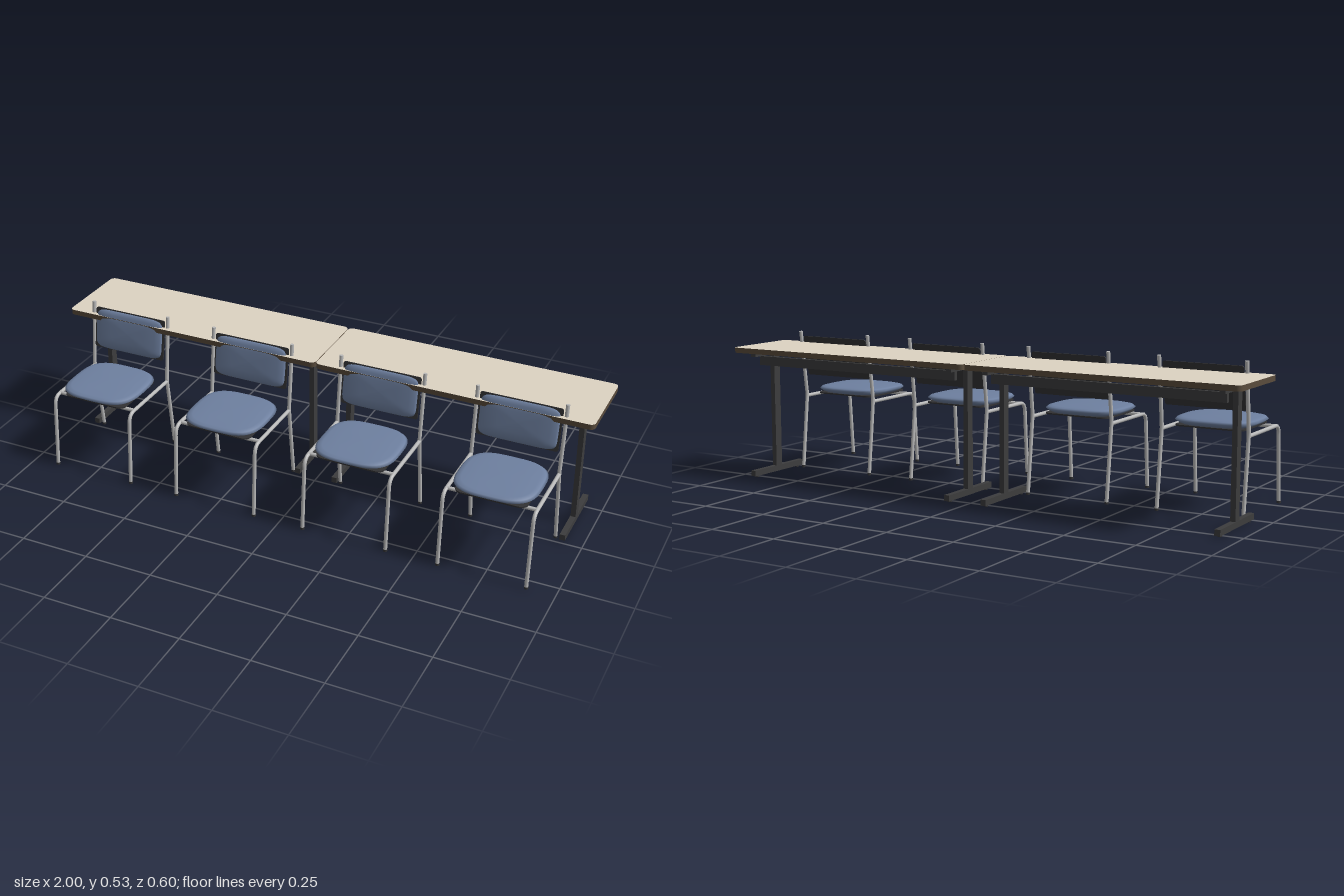
import * as THREE from 'three';

const mat = (name, color) => Object.assign(new THREE.MeshStandardMaterial({ color }), { name });

export function createModel() {
  const laminate = mat('beige laminate', 0xddd3c2);
  const brown = mat('brown edge', 0x5a4c3c);
  const underside = mat('brown underside', 0x8a7659);
  const frame = mat('dark frame metal', 0x3c3c3d);
  const steel = mat('grey steel', 0xb8b8b8);
  const blue = mat('blue upholstery', 0x6e80a0);
  const black = mat('black plastic', 0x323234);

  const add = (parent, name, geo, material, x = 0, y = 0, z = 0) => {
    const m = new THREE.Mesh(geo, material);
    m.name = name;
    m.position.set(x, y, z);
    parent.add(m);
    return m;
  };
  const box = (parent, name, material, w, h, d, x, y, z) =>
    add(parent, name, new THREE.BoxGeometry(w, h, d), material, x, y, z);

  // Horizontal slab with rounded corners, rising from y = 0
  const slab = (w, d, r, h) => {
    const a = w / 2, b = d / 2, s = new THREE.Shape();
    s.moveTo(-a + r, -b).lineTo(a - r, -b);
    s.absarc(a - r, -b + r, r, -Math.PI / 2, 0);
    s.absarc(a - r, b - r, r, 0, Math.PI / 2);
    s.absarc(-a + r, b - r, r, Math.PI / 2, Math.PI);
    s.absarc(-a + r, -b + r, r, Math.PI, Math.PI * 1.5);
    return new THREE.ExtrudeGeometry(s, { depth: h, bevelEnabled: false, curveSegments: 6 })
      .rotateX(-Math.PI / 2);
  };

  // Padded cushion: bulged-rectangle rings, each level is [scale, height]
  const cushion = (w, d, n, levels) => {
    const N = 48, pos = [], idx = [];
    const p = v => Math.sign(v) * Math.abs(v) ** (2 / n);
    levels.forEach(([s, y], j) => {
      for (let i = 0; i < N; i++) {
        const t = (i / N) * Math.PI * 2;
        pos.push(p(Math.cos(t)) * w / 2 * s, y, p(Math.sin(t)) * d / 2 * s);
        if (j === 0) continue;
        const a = (j - 1) * N + i, c = (j - 1) * N + (i + 1) % N;
        idx.push(a, a + N, c, c, a + N, c + N);
      }
    });
    const g = new THREE.BufferGeometry();
    g.setAttribute('position', new THREE.Float32BufferAttribute(pos, 3));
    g.setIndex(idx);
    g.computeVertexNormals();
    return g;
  };

  // Bent steel tube through [y, z] points, with rounded middle corner
  const R = 0.0068;
  const bentTube = (start, bendIn, corner, bendOut, end) => {
    const v = ([y, z]) => new THREE.Vector3(0, y, z);
    const path = new THREE.CurvePath();
    path.add(new THREE.LineCurve3(v(start), v(bendIn)));
    path.add(new THREE.QuadraticBezierCurve3(v(bendIn), v(corner), v(bendOut)));
    path.add(new THREE.LineCurve3(v(bendOut), v(end)));
    return new THREE.TubeGeometry(path, 40, R, 12);
  };

  const makeTable = () => {
    const g = new THREE.Group();
    g.name = 'table';
    add(g, 'tableTopCore', slab(0.998, 0.3, 0.018, 0.018), [underside, brown], 0, 0.465, -0.15);
    add(g, 'tableTopSurface', slab(0.998, 0.3, 0.018, 0.001), [laminate, brown], 0, 0.483, -0.15);
    // T-shaped end supports
    for (const x of [-0.427, 0.427]) {
      box(g, 'topBracket', frame, 0.02, 0.015, 0.248, x, 0.4575, -0.149);
      box(g, 'column', frame, 0.018, 0.424, 0.032, x, 0.238, -0.149);
      box(g, 'foot', frame, 0.02, 0.021, 0.279, x, 0.0165, -0.1495);
      for (const z of [-0.032, -0.267])
        add(g, 'glide', new THREE.CylinderGeometry(0.0065, 0.0065, 0.006, 12), black, x, 0.003, z);
    }
    box(g, 'rearRail', frame, 0.854, 0.033, 0.015, 0, 0.4335, -0.2275);
    return g;
  };

  const makeChair = () => {
    const g = new THREE.Group();
    g.name = 'chair';
    for (const x of [-0.155, 0.155]) {
      add(g, 'frontLegAndRail', bentTube(
        [0.003, 0.295], [0.24, 0.277], [0.275, 0.2745], [0.275, 0.243], [0.275, 0.005]), steel, x);
      add(g, 'rearLegAndPost', bentTube(
        [0.003, -0.026], [0.27, 0.0045], [0.283, 0.006], [0.296, 0.0035], [0.524, -0.025]), steel, x);
      add(g, 'postCap', new THREE.CylinderGeometry(R, R, 0.003, 12), steel, x, 0.5235, -0.025)
        .rotation.x = -0.12;
      for (const z of [0.295, -0.026])
        add(g, 'legTip', new THREE.CylinderGeometry(0.0074, 0.0074, 0.008, 12), black, x, 0.004, z);
    }
    // Cross bar under the front of the seat
    add(g, 'crossBar', new THREE.CylinderGeometry(R, R, 0.31, 12).rotateZ(Math.PI / 2),
      steel, 0, 0.275, 0.24);
    // Seat
    add(g, 'seatPlate', slab(0.25, 0.24, 0.03, 0.005), black, 0, 0.283, 0.147);
    add(g, 'seatCushion', cushion(0.29, 0.274, 3.2,
      [[0, 0.288], [0.84, 0.288], [0.93, 0.294], [1, 0.302], [0.95, 0.309],
        [0.85, 0.3125], [0.5, 0.315], [0, 0.3155]]), blue, 0, 0, 0.149);
    // Backrest, leaning a little more than the posts
    const back = new THREE.Group();
    back.name = 'backrest';
    back.position.set(0, 0.432, -0.0125);
    back.rotation.x = -0.183;
    add(back, 'backPlate', slab(0.288, 0.152, 0.008, 0.004).rotateX(Math.PI / 2), black, 0, 0, 0.002);
    add(back, 'backCushion', cushion(0.276, 0.148, 7,
      [[0, 0.006], [0.95, 0.006], [1, 0.01], [0.95, 0.016],
        [0.8, 0.02], [0.5, 0.0225], [0, 0.023]]).rotateX(Math.PI / 2), blue);
    g.add(back);
    return g;
  };

  const model = new THREE.Group();
  model.name = 'tablesAndChairs';
  for (const x of [-0.5, 0.5]) {
    const table = makeTable();
    table.position.x = x;
    model.add(table);
  }
  for (let i = 0; i < 4; i++) {
    const chair = makeChair();
    chair.position.x = -0.751 + 0.4985 * i;
    model.add(chair);
  }
  return model;
}
